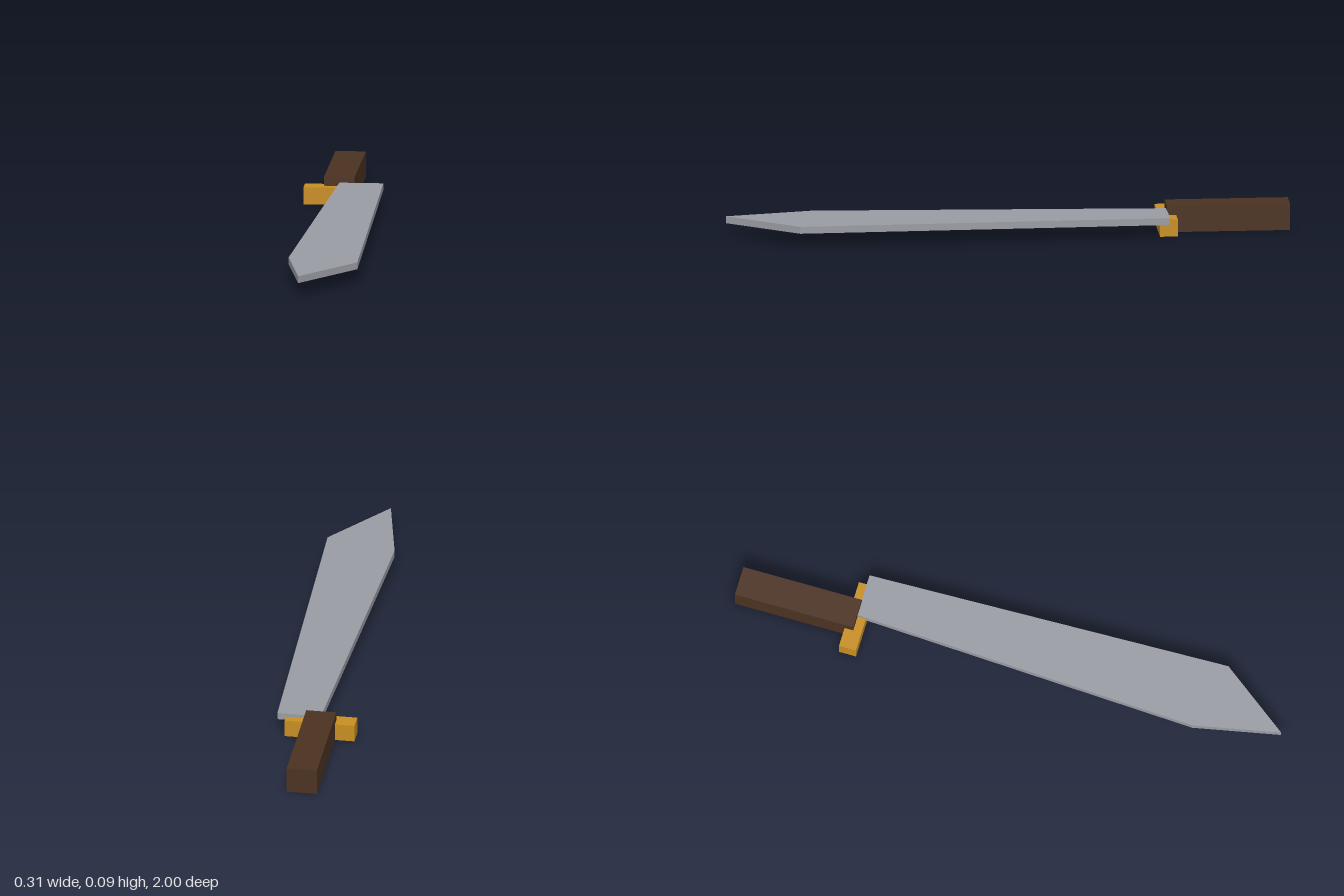
import * as THREE from 'three';

const material = (name, color) => {
  const m = new THREE.MeshStandardMaterial({ color });
  m.name = name;
  return m;
};

export function createModel() {
  const group = new THREE.Group();
  const steel = material('steel', 0x9a9ca4);
  const brass = material('brass', 0xc88e22);
  const wood = material('darkWood', 0x4c3221);

  const add = (name, geometry, mat) => {
    const mesh = new THREE.Mesh(geometry, mat);
    mesh.name = name;
    group.add(mesh);
  };

  // Box given by its lowest and highest corners
  const box = (name, mat, [x0, y0, z0], [x1, y1, z1]) => {
    const g = new THREE.BoxGeometry(x1 - x0, y1 - y0, z1 - z0);
    g.translate((x0 + x1) / 2, (y0 + y1) / 2, (z0 + z1) / 2);
    add(name, g, mat);
  };

  // Flat blade: outline in x and z, widening towards an angled point
  const outline = [[-0.031, -0.565], [0.125, -0.565], [0.156, 0.75], [-0.031, 1], [-0.094, 0.69]];
  const shape = new THREE.Shape(outline.map(([x, z]) => new THREE.Vector2(x, z)));
  const blade = new THREE.ExtrudeGeometry(shape, { depth: 0.025, bevelEnabled: false });
  blade.rotateX(Math.PI / 2).translate(0, 0.075, 0);
  add('blade', blade, steel);

  // Crossguard sits just above the handle's underside
  box('crossguard', brass, [-0.156, 0.0005, -0.595], [0.094, 0.0625, -0.532]);

  // Square grip
  box('handle', wood, [-0.086, 0, -1], [0.022, 0.094, -0.563]);

  return group;
}
